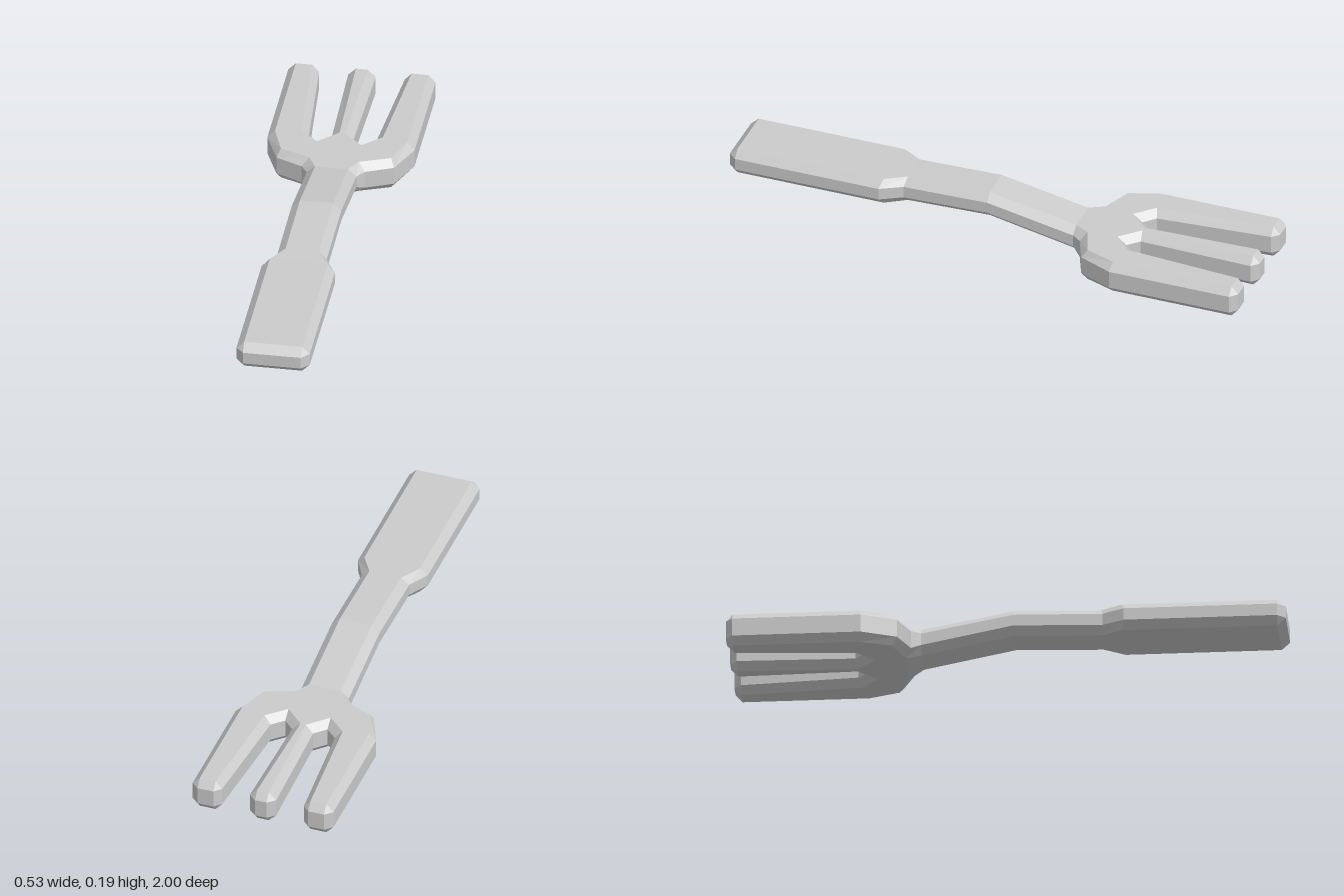
import * as THREE from 'three';

const BEVEL = 0.028;

// Half outlines on the +x side: [x, z, bevelled x, bevelled z, bottom y, top y]
const NECK = [0.115, -0.345, 0.09, -0.365, 0, 0.123];

const HANDLE = [
  [0.105, 1.0, 0.105, 0.97, 0.077, 0.178],
  [0.133, 0.97, 0.105, 0.97, 0.077, 0.178],
  [0.133, 0.42, 0.105, 0.41, 0.077, 0.178],
  [0.09, 0.34, 0.06, 0.335, 0.079, 0.179],
  [0.09, 0.02, 0.06, 0.02, 0.088, 0.186],
  [0.09, -0.31, 0.06, -0.31, 0.022, 0.123],
  NECK,
];

const HEAD = [
  NECK,
  ...[
    [0.213, -0.388, 0.2, -0.408],
    [0.267, -0.515, 0.24, -0.52],
    // outer tine
    [0.267, -0.975, 0.24, -0.975],
    [0.24, -1, 0.24, -0.975],
    [0.18, -1, 0.18, -0.975],
    [0.155, -0.975, 0.18, -0.975],
    // notch
    [0.122, -0.55, 0.148, -0.54],
    [0.08, -0.51, 0.08, -0.475],
    [0.04, -0.55, 0.01, -0.545],
    // half of the middle tine
    [0.05, -0.975, 0.022, -0.975],
    [0.022, -1, 0.022, -0.975],
  ].map((p) => [...p, 0, 0.123]),
];

const mirror = (rows) => rows.map(([x, z, ix, iz, b, t]) => [-x, z, -ix, iz, b, t]).reverse();

// Four points up the side of the outline: bottom edge, two wall edges, top edge
const column = ([x, z, ix, iz, b, t]) => [
  new THREE.Vector3(ix, b, iz),
  new THREE.Vector3(x, b + BEVEL, z),
  new THREE.Vector3(x, t - BEVEL, z),
  new THREE.Vector3(ix, t, iz),
];

// Bevelled slab: walls along an open outline (counterclockwise from above) plus both caps
function bevelledSlab(name, outline, capTriangles, material) {
  const columns = outline.map(column);
  const positions = [];
  const triangle = (a, b, c) => {
    const area = b.clone().sub(a).cross(c.clone().sub(a)).length();
    if (area > 1e-8) positions.push(...a.toArray(), ...b.toArray(), ...c.toArray());
  };
  for (let i = 0; i < columns.length - 1; i++) {
    const p = columns[i], q = columns[i + 1];
    for (let k = 0; k < 3; k++) {
      triangle(p[k], q[k], q[k + 1]);
      triangle(p[k], q[k + 1], p[k + 1]);
    }
  }
  for (const [a, b, c] of capTriangles) {
    triangle(columns[a][3], columns[b][3], columns[c][3]);
    triangle(columns[a][0], columns[c][0], columns[b][0]);
  }
  const geometry = new THREE.BufferGeometry();
  geometry.setAttribute('position', new THREE.Float32BufferAttribute(positions, 3));
  geometry.computeVertexNormals();
  const mesh = new THREE.Mesh(geometry, material);
  mesh.name = name;
  return mesh;
}

export function createModel() {
  const group = new THREE.Group();
  group.name = 'fork';
  const material = new THREE.MeshStandardMaterial({ color: 0xcccccc, flatShading: true });

  // Handle: caps are strips across, so they follow the bend
  const handle = [...mirror(HANDLE), ...HANDLE];
  const strips = [];
  const last = handle.length - 1;
  for (let i = 0; i < HANDLE.length - 1; i++) {
    strips.push([i, i + 1, last - i - 1], [i, last - i - 1, last - i]);
  }
  group.add(bevelledSlab('handle', handle, strips, material));

  // Flat head with three tines
  const head = [...HEAD, ...mirror(HEAD)];
  const contour = head.map((p) => new THREE.Vector2(p[2], -p[3]));
  const caps = THREE.ShapeUtils.triangulateShape(contour, []);
  group.add(bevelledSlab('head', head, caps, material));

  return group;
}
